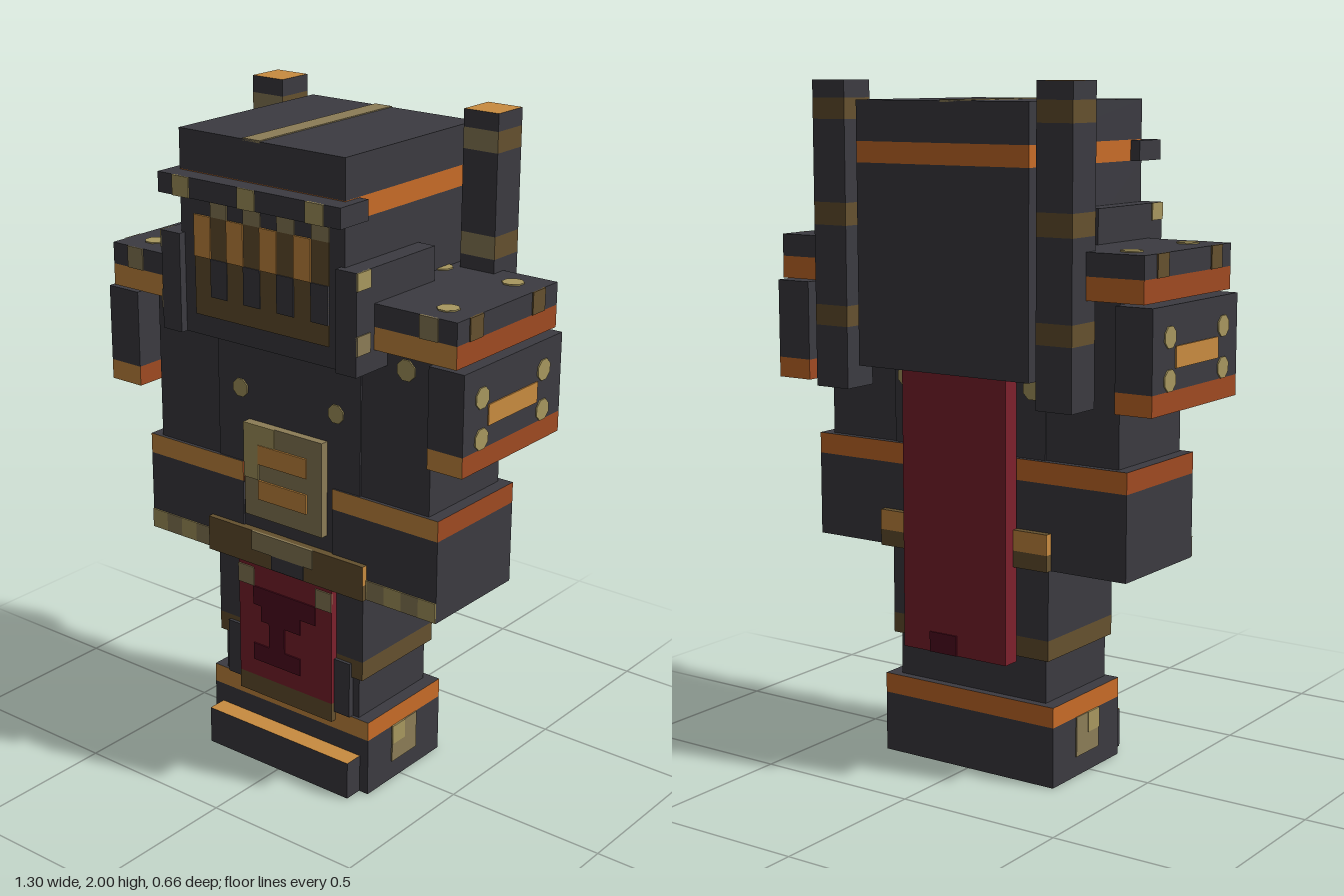
import * as THREE from 'three';

const paint = (name, color) => {
  const m = new THREE.MeshStandardMaterial({ color });
  m.name = name;
  return m;
};

export function createModel() {
  const model = new THREE.Group();
  model.name = 'armouredFigure';

  const iron = paint('iron', 0x3c3b41);
  const amber = paint('amber', 0xc98c40);
  const copper = paint('copper', 0xc86c28);
  const rust = paint('rust', 0xa04a22);
  const gold = paint('gold', 0xa8985f);
  const brass = paint('brass', 0x8c7d57);
  const bronze = paint('bronze', 0x65512f);
  const red = paint('red', 0x7d202c);
  const wine = paint('wine', 0x520a20);

  // Box from corner to corner; mat may be one material or six face materials
  const box = (name, x0, x1, y0, y1, z0, z1, mat = iron) => {
    const mesh = new THREE.Mesh(new THREE.BoxGeometry(x1 - x0, y1 - y0, z1 - z0), mat);
    mesh.position.set((x0 + x1) / 2, (y0 + y1) / 2, (z0 + z1) / 2);
    mesh.name = name;
    model.add(mesh);
    return mesh;
  };
  // Column cut into painted layers: [top, material], from the bottom up
  const stack = (name, x0, x1, y0, z0, z1, layers) => {
    let y = y0;
    for (const [top, mat] of layers) {
      box(name, x0, x1, y, top, z0, z1, mat);
      y = top;
    }
  };
  // Face materials: sides, top, bottom, front, back
  const faces = (side, top, bottom, front, back) => [side, side, top, bottom, front, back];
  // Thin painted plates on a front plane or on a side plane (s = -1 or 1)
  const T = 0.004;
  const front = (name, x0, x1, y0, y1, z, mat) => box(name, x0, x1, y0, y1, z - T, z + T, mat);
  const side = (name, s, x, z0, z1, y0, y1, mat) =>
    box(name, s * x - T, s * x + T, y0, y1, z0, z1, mat);
  // Eight-sided rivet facing along 'x', 'y' or 'z'
  const rivet = (x, y, z, axis, r = 0.032) => {
    const g = new THREE.CylinderGeometry(r, r, 0.008, 8);
    g.rotateY(Math.PI / 8);
    if (axis === 'x') g.rotateZ(Math.PI / 2);
    if (axis === 'z') g.rotateX(Math.PI / 2);
    const mesh = new THREE.Mesh(g, gold);
    mesh.position.set(x, y, z);
    mesh.name = 'rivet';
    model.add(mesh);
  };

  // Helmet with a copper band and a crest stripe
  stack('helmet', -0.293, 0.293, 1.36, -0.315, 0.27, [[1.77, iron], [1.83, copper], [1.945, iron]]);
  box('helmetBack', -0.293, 0.293, 1.19, 1.36, -0.315, -0.19);
  box('crestStripe', -0.06, 0, 1.941, 1.948, -0.315, 0.27, brass);

  // Brow with three studs
  box('brow', -0.323, 0.323, 1.77, 1.828, 0.21, 0.328);
  for (const x of [-0.237, 0, 0.237]) front('browStud', x - 0.03, x + 0.03, 1.77, 1.828, 0.328, gold);

  // Face grille with glowing slots
  front('grille', -0.24, 0.24, 1.42, 1.71, 0.27, bronze);
  for (let i = 0; i < 4; i++) {
    const x = -0.24 + i * 0.12;
    front('glowSlot', x, x + 0.06, 1.59, 1.71, 0.273, amber);
    front('darkSlot', x + 0.06, x + 0.12, 1.48, 1.59, 0.273, iron);
    front('grilleTip', x + 0.06, x + 0.12, 1.71, 1.77, 0.27, brass);
  }

  // Torso, chest badge and rivets
  box('torso', -0.263, 0.263, 0.64, 1.42, -0.185, 0.16);
  box('badge', -0.145, 0.145, 0.8, 1.09, 0.15, 0.185, brass);
  front('badgeShine', -0.145, -0.03, 1.03, 1.09, 0.185, gold);
  front('badgeShine', -0.145, -0.09, 0.92, 1.03, 0.185, gold);
  for (const y of [0.86, 0.97]) front('badgeBar', -0.09, 0.09, y, y + 0.06, 0.187, amber);

  for (const s of [-1, 1]) {
    const span = (a, b) => (s > 0 ? [a, b] : [-b, -a]);

    // Cheek guard
    box('cheekGuard', ...span(0.28, 0.35), 1.36, 1.65, -0.055, 0.293);
    side('cheekStud', s, 0.35, 0.235, 0.293, 1.6, 1.65, gold);
    side('cheekStud', s, 0.35, 0.235, 0.293, 1.42, 1.475, brass);

    // Banded back post
    const band = faces(bronze, bronze, bronze, brass, bronze);
    stack('backPost', ...span(0.325, 0.44), 1.12, -0.328, -0.213, [
      [1.3, iron], [1.36, band], [1.59, iron], [1.655, band], [1.89, iron], [1.95, band],
      [2, faces(iron, amber, iron, iron, iron)],
    ]);

    // Shoulder plate
    stack('shoulderPlate', ...span(0.26, 0.62), 1.42, -0.26, 0.215, [
      [1.485, faces(rust, iron, iron, amber, copper)], [1.55, iron],
    ]);
    front('shoulderStud', ...span(0.5, 0.56), 1.485, 1.55, 0.215, brass);
    for (const z of [0.13, -0.165]) {
      side('shoulderStud', s, 0.62, z - 0.03, z + 0.03, 1.485, 1.55, bronze);
    }
    for (const [x, z] of [[0.53, 0.13], [0.53, -0.175], [0.29, -0.175]]) rivet(s * x, 1.55, z, 'y');

    // Outer arm guard
    stack('armGuard', ...span(0.53, 0.645), 1.12, -0.255, 0.213, [
      [1.18, faces(rust, iron, iron, amber, copper)], [1.412, iron],
    ]);
    side('armGuardBar', s, 0.645, -0.135, 0.1, 1.24, 1.3, amber);
    for (const z of [0.13, -0.165]) {
      rivet(s * 0.645, 1.327, z, 'x');
      rivet(s * 0.645, 1.21, z, 'x');
    }

    // Arm and gauntlet
    box('arm', ...span(0.25, 0.5), 0.9, 1.43, -0.18, 0.155);
    stack('gauntlet', ...span(0.168, 0.538), 0.642, -0.2, 0.166, [
      [0.89, iron], [0.952, faces(rust, iron, iron, amber, copper)],
    ]);
    for (let i = 0; i < 5; i++) {
      const x = 0.238 + i * 0.06;
      front('gauntletTrim', ...span(x, x + 0.06), 0.644, 0.704, 0.166, i % 2 ? brass : gold);
    }
    rivet(s * 0.415, 1.36, 0.155, 'z');
    rivet(s * 0.177, 1.18, 0.16, 'z', 0.029);
    rivet(s * 0.22, 1.15, -0.185, 'z');

    // Boot buckle
    side('bootBuckle', s, 0.3, -0.075, 0.045, 0.06, 0.18, brass);
    side('buckleShine', s, 0.302, -0.015, 0.045, 0.12, 0.18, gold);

    // Loincloth corner clasp
    front('clasp', ...span(0.118, 0.178), 0.57, 0.63, 0.18, brass);
    // Shin guard
    box('shinGuard', ...span(0.05, 0.235), 0.24, 0.415, 0.1, 0.168);
  }

  // Belt and buckle
  stack('belt', -0.293, 0.293, 0.642, -0.222, 0.184, [
    [0.69, bronze], [0.75, faces(amber, bronze, bronze, bronze, amber)],
  ]);
  front('beltBuckle', -0.12, 0.11, 0.69, 0.75, 0.184, brass);
  front('beltBuckleHole', -0.045, 0.075, 0.645, 0.69, 0.184, iron);

  // Loincloth with a dark emblem
  stack('loincloth', -0.178, 0.178, 0.21, 0.15, 0.18, [[0.27, bronze], [0.642, red]]);
  for (const [x0, x1, y0, y1] of [
    [-0.12, 0.118, 0.51, 0.57], [-0.09, 0.06, 0.46, 0.51],
    [-0.06, 0.0, 0.38, 0.46], [-0.12, 0.06, 0.325, 0.38],
  ]) front('clothEmblem', x0, x1, y0, y1, 0.18, wine);

  // Cape
  box('cape', -0.18, 0.18, 0.36, 1.185, -0.26, -0.205, faces(red, red, wine, red, red));
  front('capeMark', -0.01, 0.085, 0.36, 0.42, -0.26, wine);

  // Legs and boots
  stack('thighs', -0.275, 0.275, 0.37, -0.185, 0.158, [[0.43, bronze], [0.642, iron]]);
  box('shins', -0.258, 0.258, 0.2, 0.4, -0.17, 0.15);
  stack('boots', -0.3, 0.3, 0, -0.195, 0.16, [
    [0.18, iron], [0.24, faces(copper, iron, iron, amber, copper)],
  ]);
  box('toeCap', -0.27, 0.27, 0.002, 0.12, 0.12, 0.22, faces(iron, amber, iron, iron, iron));

  return model;
}
